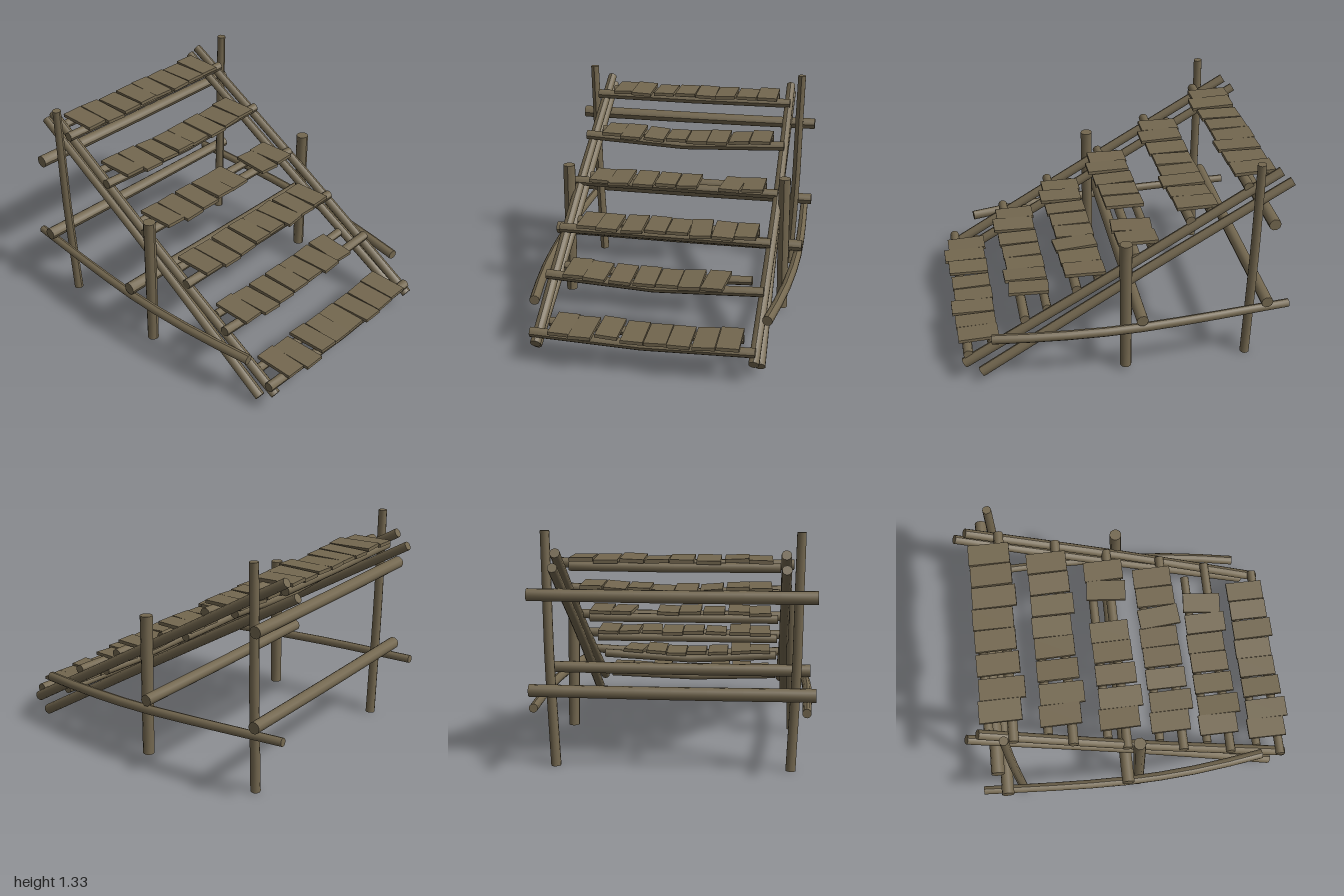
import * as THREE from 'three';

const UP = new THREE.Vector3(0, 1, 0);

export function createModel() {
  const group = new THREE.Group();
  const wood = new THREE.MeshStandardMaterial({ color: 0x73674f });
  wood.name = 'weathered wood';

  // Round log bent along a path of [x, y, z] points, r0 at the start and r1 at the end
  function log(name, pts, r0, r1 = r0, tension = 0.5) {
    const curve = new THREE.CatmullRomCurve3(
      pts.map((p) => new THREE.Vector3(...p)), false, 'catmullrom', tension);
    const geo = new THREE.CylinderGeometry(r1, r0, 1, 10, 8);
    const pos = geo.attributes.position;
    const v = new THREE.Vector3();
    const q = new THREE.Quaternion();
    for (let i = 0; i < pos.count; i++) {
      v.fromBufferAttribute(pos, i);
      const t = THREE.MathUtils.clamp(v.y + 0.5, 0, 1);
      q.setFromUnitVectors(UP, curve.getTangentAt(t));
      v.setY(0).applyQuaternion(q).add(curve.getPointAt(t));
      pos.setXYZ(i, v.x, v.y, v.z);
    }
    geo.computeVertexNormals();
    const mesh = new THREE.Mesh(geo, wood);
    mesh.name = name;
    group.add(mesh);
  }

  // Posts, stringers and side rails, mirrored
  for (const [s, side] of [[1, 'left'], [-1, 'right']]) {
    log(side + 'BackPost', [[s * 0.66, 0, -0.76], [s * 0.685, 0.6, -0.76], [s * 0.69, 0.95, -0.76],
      [s * 0.675, 1.33, -0.755]].map((p, i) => [s * [0.66, 0.685, 0.69, 0.697][i], p[1], p[2]]), 0.029, 0.026);
    log(side + 'FrontPost', [[s * 0.686, 0.025, -0.015], [s * 0.68, 0.45, -0.012], [s * 0.675, 0.88, -0.01]], 0.034, 0.037);
    log(side + 'UpperStringer', [[s * 0.625, 0.125, 0.935], [s * 0.63, 0.67, 0.02], [s * 0.615, 1.225, -0.905]], 0.031, 0.028);
    log(side + 'LowerStringer', [[s * 0.65, 0.065, 0.84], [s * 0.625, 0.615, -0.07], [s * 0.617, 1.155, -0.975]], 0.031, 0.027);
    log(side + 'SideRail', [[s * 0.675, 0.315, 0.77], [s * 0.73, 0.33, 0.4], [s * 0.76, 0.345, 0],
      [s * 0.76, 0.365, -0.4], [s * 0.735, 0.39, -0.98]], 0.03, 0.025);
  }

  // Cross beams between the posts
  for (const [name, y, z] of [['lowerFrontBeam', 0.415, -0.09], ['lowerBackBeam', 0.45, -0.83], ['upperBackBeam', 0.987, -0.83]]) {
    log(name, [[-0.79, y, z], [0, y - 0.003, z], [0.79, y, z]], 0.038, 0.035);
  }

  // Plank layout shared by all steps: centre x, back and front offset from the step's z
  const planks = [
    [-0.48, -0.13, 0.11], [-0.353, -0.12, 0.14], [-0.203, -0.125, 0.12], [-0.06, -0.125, 0.11],
    [0.073, -0.13, 0.105], [0.207, -0.125, 0.13], [0.347, -0.125, 0.115], [0.48, -0.13, 0.11],
  ];
  // Steps: z, pole height at the ends, sag, missing plank, crooked plank, raised plank, front and back pole z
  const steps = [
    { z: 0.85, y: 0.185, sag: 0.02, raised: 2, front: 0.91, back: 0.765 },
    { z: 0.52, y: 0.393, sag: 0.03, missing: 7, crooked: 6, front: 0.57, back: 0.43 },
    { z: 0.21, y: 0.567, sag: 0, crooked: 5, front: 0.265, back: 0.125 },
    { z: -0.10, y: 0.75, sag: 0, missing: 5, crooked: 6, front: -0.08, back: -0.19 },
    { z: -0.44, y: 0.96, sag: 0.03, front: -0.39, back: -0.53 },
    { z: -0.765, y: 1.15, sag: 0.004, front: -0.715, back: -0.85 },
  ];
  steps.forEach((st, n) => {
    const mid = st.y - st.sag;
    log(`step${n + 1}FrontPole`, [[-0.66, st.y, st.front], [-0.015, mid, st.front], [0.63, st.y, st.front]], 0.029, 0.029, 0);
    log(`step${n + 1}BackPole`, [[-0.587, st.y, st.back], [-0.02, mid, st.back], [0.547, st.y, st.back]], 0.027, 0.027, 0);
    planks.forEach(([x, b, f], i) => {
      if (i === st.missing) return;
      const mesh = new THREE.Mesh(new THREE.BoxGeometry(0.129, 0.02, f - b), wood);
      mesh.name = `step${n + 1}Plank${i + 1}`;
      const lift = (i === st.raised ? 0.018 : 0) + (i % 2) * 0.004;
      mesh.position.set(x, mid + st.sag * Math.abs(x) / 0.64 + 0.034 + lift, st.z + (b + f) / 2);
      const wobble = 0.04 * Math.sin(i * 2.3 + n * 1.7);
      mesh.rotation.set(0.03 * Math.cos(i * 1.9 + n), i === st.crooked ? -0.09 * (n === 2 ? -1 : 1) : 0.01,
        Math.sign(x) * st.sag * 1.5 + wobble);
      group.add(mesh);
    });
  });
  return group;
}
